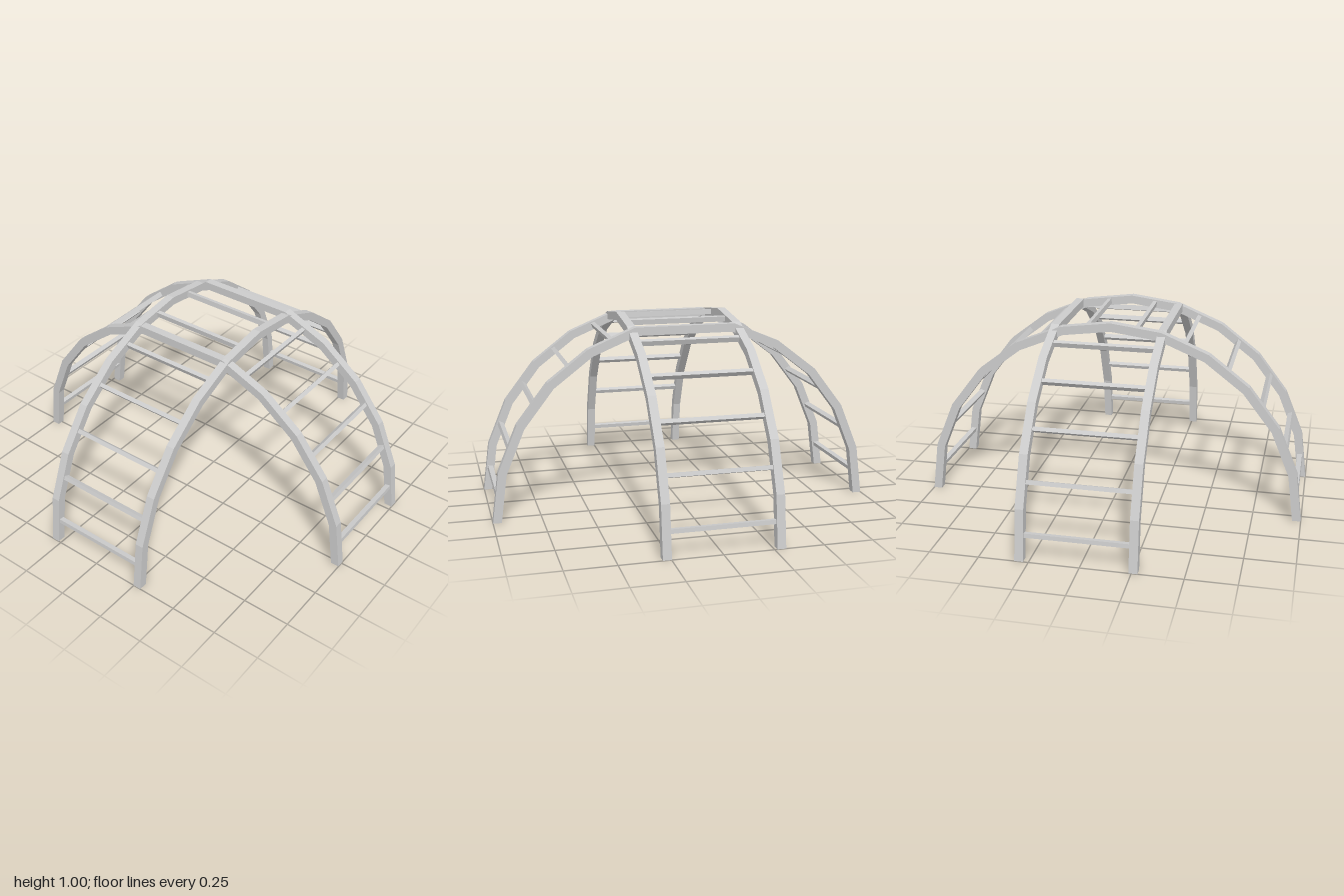
import * as THREE from 'three';

const OUTER = 1, INNER = 0.956, BEAM = 0.043, SPACING = 0.556, STEP = Math.PI / 12;
const material = new THREE.MeshStandardMaterial({ color: 0xcccccc, flatShading: true });

// Faceted half-ring beam; a flat-topped one leaves out the crown point
function archGeometry(flatTop) {
  const angles = [];
  for (let i = 0; i <= 12; i++) if (!(flatTop && i === 6)) angles.push(i * STEP);
  const ring = (r) => angles.map((a) => new THREE.Vector2(r * Math.cos(a), r * Math.sin(a)));
  const shape = new THREE.Shape([...ring(OUTER), ...ring(INNER).reverse()]);
  return new THREE.ExtrudeGeometry(shape, { depth: BEAM, bevelEnabled: false }).translate(0, 0, -BEAM / 2);
}

// Two parallel arches joined by a rung in the middle of each segment
function archLadder(name, flatTop, offset) {
  const ladder = new THREE.Group();
  ladder.name = name;

  const arch = archGeometry(flatTop);
  for (const side of [-1, 1]) {
    const mesh = new THREE.Mesh(arch, material);
    mesh.name = 'archBeam';
    mesh.position.z = offset + side * SPACING / 2;
    ladder.add(mesh);
  }

  const rung = new THREE.BoxGeometry(0.027, 0.021, SPACING - BEAM + 0.004);
  for (let i = 0; i < 12; i++) {
    if (flatTop && (i === 5 || i === 6)) continue;
    const a = (i + 0.5) * STEP;
    const mesh = new THREE.Mesh(rung, material);
    mesh.name = 'rung';
    mesh.position.set(0.971 * Math.cos(a), 0.971 * Math.sin(a), offset);
    mesh.rotation.z = a;
    ladder.add(mesh);
  }
  return ladder;
}

export function createModel() {
  const model = new THREE.Group();
  model.name = 'climbingFrame';

  // Full arch running front to back
  const lengthwise = archLadder('lengthwiseLadder', false, -0.008);
  lengthwise.rotation.y = Math.PI / 2;
  model.add(lengthwise);

  // Flat-topped arch running side to side
  model.add(archLadder('crosswiseLadder', true, -0.02));
  return model;
}
